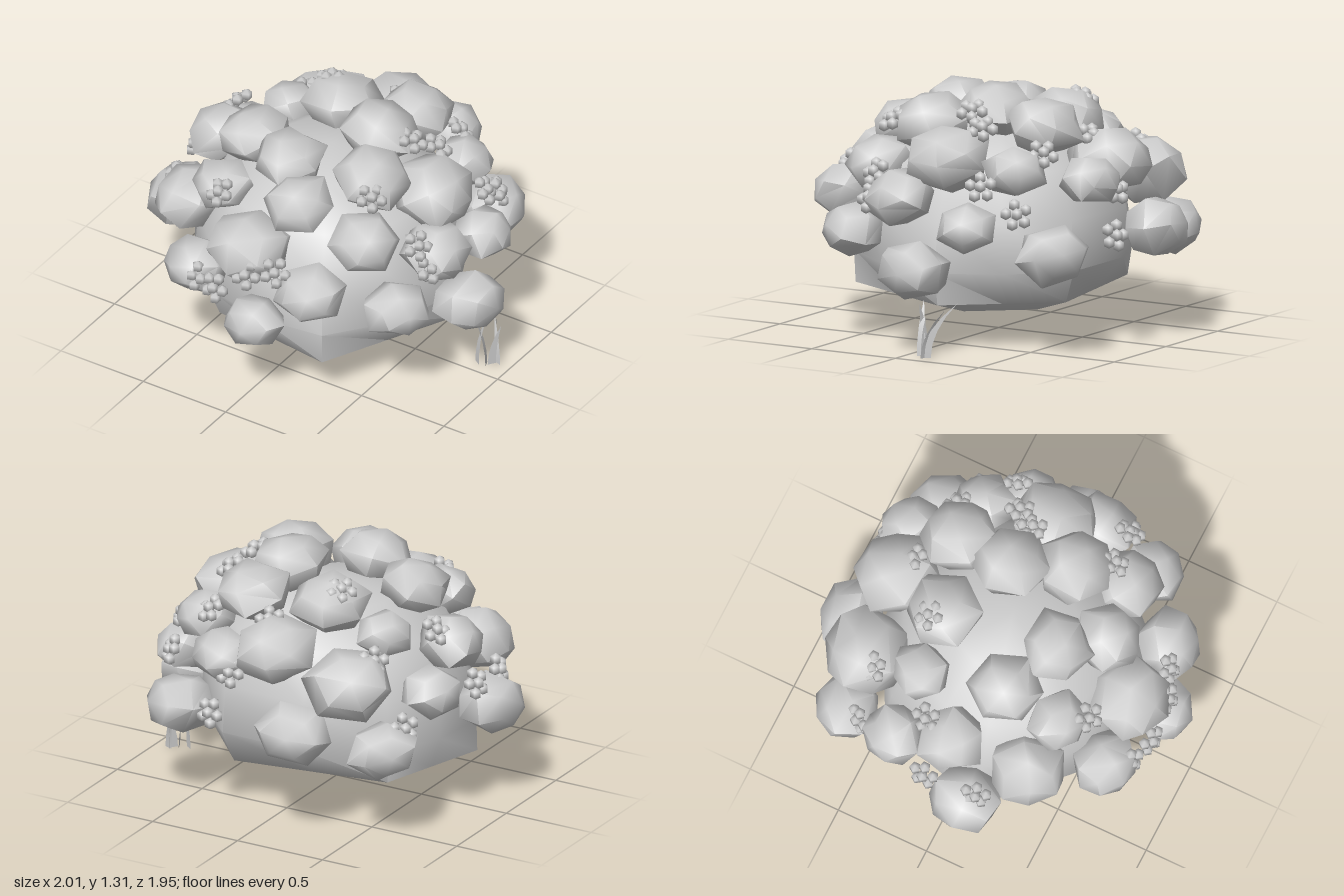
import * as THREE from 'three';
import { mergeVertices, toCreasedNormals } from 'three/addons/utils/BufferGeometryUtils.js';

export function createModel() {
  const model = new THREE.Group();
  const grey = new THREE.MeshStandardMaterial({ color: 0xcccccc });
  grey.name = 'stone grey';
  const grassGrey = new THREE.MeshStandardMaterial({ color: 0xcccccc, side: THREE.DoubleSide });
  grassGrey.name = 'blade grey';

  // Small seeded random in -1..1
  let seed = 11;
  const rand = () => {
    seed = (seed * 16807) % 2147483647;
    return (seed / 2147483647) * 2 - 1;
  };
  const add = (geometry, name, parent = model, material = grey) => {
    const mesh = new THREE.Mesh(geometry, material);
    mesh.name = name;
    parent.add(mesh);
    return mesh;
  };
  const bare = (geometry) => {
    geometry.deleteAttribute('uv');
    geometry.deleteAttribute('normal');
    return mergeVertices(geometry, 1e-4);
  };
  // Rotation that turns +z to the outward direction of the bush surface
  const zAxis = new THREE.Vector3(0, 0, 1);
  const outward = (x, y, z) => new THREE.Quaternion().setFromUnitVectors(
    zAxis, new THREE.Vector3(x, (y - 0.42) * 1.1, z).normalize());

  // Core: an uneven six-cornered base that blends into a round dome
  const corners = [[0.69, -0.06], [0.35, 0.64], [-0.33, 0.55], [-0.73, 0.17], [-0.55, -0.43], [0.27, -0.57]];
  const outline = corners.flatMap(([x, z], i) => {
    const [nx, nz] = corners[(i + 1) % 6];
    return [[x, z], [(x + nx) / 2, (z + nz) / 2]];
  });
  // Rings: y, scale of the base outline, radius of the circle, blend to the circle
  const rings = [
    [0.15, 0.57, 0, 0], [0.23, 1, 0, 0], [0.4, 1.03, 0.73, 0.65],
    [0.66, 1, 0.69, 0.9], [0.9, 1, 0.56, 1], [1.04, 1, 0.32, 1],
  ];
  const points = [0, 0.14, 0, 0, 1.09, 0];
  const faces = [];
  const at = (ring, i) => 2 + ring * 12 + (i % 12);
  rings.forEach(([y, scale, radius, blend], ring) => {
    outline.forEach(([x, z], i) => {
      const k = scale * (1 - blend) + (radius / Math.hypot(x, z)) * blend;
      points.push(x * k, y, z * k);
      if (ring === 0) faces.push(0, at(0, i), at(0, i + 1));
      else {
        const [a, b, c, d] = [at(ring - 1, i), at(ring - 1, i + 1), at(ring, i + 1), at(ring, i)];
        faces.push(a, d, c, a, c, b);
      }
      if (ring === rings.length - 1) faces.push(1, at(ring, i + 1), at(ring, i));
    });
  });
  const core = new THREE.BufferGeometry();
  core.setAttribute('position', new THREE.Float32BufferAttribute(points, 3));
  core.setIndex(faces);
  add(toCreasedNormals(core, 0.9), 'core');

  // Foliage clumps: x, y, z, radius
  const clumps = [
    [-0.22, 0.57, -0.81, 0.19], [-0.43, 0.81, -0.61, 0.23], [-0.02, 0.93, -0.65, 0.22],
    [0.26, 0.88, -0.71, 0.16], [0.54, 0.53, -0.66, 0.19], [0.52, 0.93, -0.42, 0.16],
    [0.74, 0.66, -0.27, 0.16], [-0.46, 0.98, -0.3, 0.15], [-0.74, 0.73, -0.31, 0.16],
    [-0.15, 1.1, -0.32, 0.2], [0.24, 1.12, -0.42, 0.19], [0.2, 1.18, -0.12, 0.19],
    [0.57, 0.97, -0.05, 0.22], [-0.69, 0.89, -0.02, 0.18], [-0.38, 1.08, 0.14, 0.18],
    [-0.08, 1.13, 0.28, 0.18], [0.35, 1.11, 0.18, 0.2], [0.11, 1.03, 0.48, 0.18],
    [0.46, 0.89, 0.42, 0.18], [0.72, 0.78, 0.15, 0.18], [0.83, 0.43, 0, 0.19],
    [0.68, 0.58, 0.45, 0.17], [0.33, 0.7, 0.72, 0.18], [0.06, 0.49, 0.83, 0.155],
    [-0.06, 0.83, 0.68, 0.22], [-0.37, 0.61, 0.7, 0.17], [-0.38, 0.95, 0.44, 0.16],
    [-0.62, 0.75, 0.38, 0.2], [-0.83, 0.53, 0.13, 0.19], [-0.64, 0.5, -0.63, 0.18],
  ];
  const foliage = new THREE.Group();
  foliage.name = 'foliage';
  model.add(foliage);
  for (const [x, y, z, r] of clumps) {
    const geometry = bare(new THREE.SphereGeometry(1, 6, 4).rotateX(Math.PI / 2));
    const p = geometry.attributes.position;
    for (let i = 0; i < p.count; i++) {
      const k = 1.08 + rand() * 0.08;
      p.setXYZ(i, p.getX(i) * k + rand() * 0.05, p.getY(i) * k + rand() * 0.05, p.getZ(i) * 0.92 + rand() * 0.05);
    }
    geometry.rotateZ(rand() * Math.PI).applyQuaternion(outward(x, y, z)).scale(r, r * 0.79, r);
    add(toCreasedNormals(geometry, 1.15), 'clump', foliage).position.set(x, y, z);
  }

  // Blossoms: five upright beads around a raised centre bead
  const beadGeometry = new THREE.SphereGeometry(0.033, 5, 3);
  const blossoms = [
    [-0.31, 1.0, 0.58], [0.17, 0.81, 0.8], [0.03, 0.78, 0.86], [-0.16, 0.63, 0.86], [-0.31, 0.63, 0.82],
    [0.46, 1.12, 0.35], [0.71, 0.89, 0.3], [0.78, 0.77, 0.29], [0.42, 1.2, -0.1], [0.5, 1.13, -0.21],
    [0.71, 0.87, -0.33], [0.67, 0.74, -0.52], [0.43, 1.02, -0.53], [0.16, 0.82, -0.8], [0.25, 0.6, -0.85],
    [-0.71, 0.6, -0.53], [-0.53, 0.93, -0.53], [0.05, 1.06, -0.59], [-0.24, 1.2, -0.36],
    [-0.68, 1.0, -0.16], [-0.87, 0.72, -0.08], [-0.84, 0.69, 0.2],
  ];
  for (const [x, y, z] of blossoms) {
    const blossom = new THREE.Group();
    blossom.name = 'blossom';
    blossom.position.set(x, y, z);
    model.add(blossom);
    const turn = outward(x, y, z);
    for (let i = 0; i < 6; i++) {
      const a = (i / 5) * Math.PI * 2;
      const spot = i < 5 ? new THREE.Vector3(Math.cos(a) * 0.055, Math.sin(a) * 0.055, 0) : new THREE.Vector3(0, 0, 0.015);
      add(beadGeometry, 'bead', blossom).position.copy(spot.applyQuaternion(turn));
    }
  }

  // Grass tuft: curved tapering blades, base x, z, tip x, y, z, facing angle
  const blades = [
    [0.83, -0.07, 0.88, 0.27, -0.07, 0.6], [0.88, -0.08, 0.82, 0.28, -0.06, 1.2],
    [0.92, -0.12, 0.85, 0.24, -0.2, 0.3], [0.91, -0.13, 0.82, 0.28, -0.26, 1.0],
    [0.9, -0.1, 0.93, 0.22, -0.14, 2.2],
  ];
  const tuft = new THREE.Group();
  tuft.name = 'grassTuft';
  model.add(tuft);
  for (const [bx, bz, tx, ty, tz, angle] of blades) {
    const geometry = new THREE.PlaneGeometry(1, 1, 1, 4);
    const p = geometry.attributes.position;
    for (let i = 0; i < p.count; i++) {
      const t = p.getY(i) + 0.5;
      const side = p.getX(i) * 0.045 * (1 - t * t * 0.98);
      p.setXYZ(i, bx + (tx - bx) * t * t + side * Math.cos(angle), ty * t,
        bz + (tz - bz) * t * t + side * Math.sin(angle));
    }
    geometry.computeVertexNormals();
    add(geometry, 'grassBlade', tuft, grassGrey);
  }
  return model;
}
